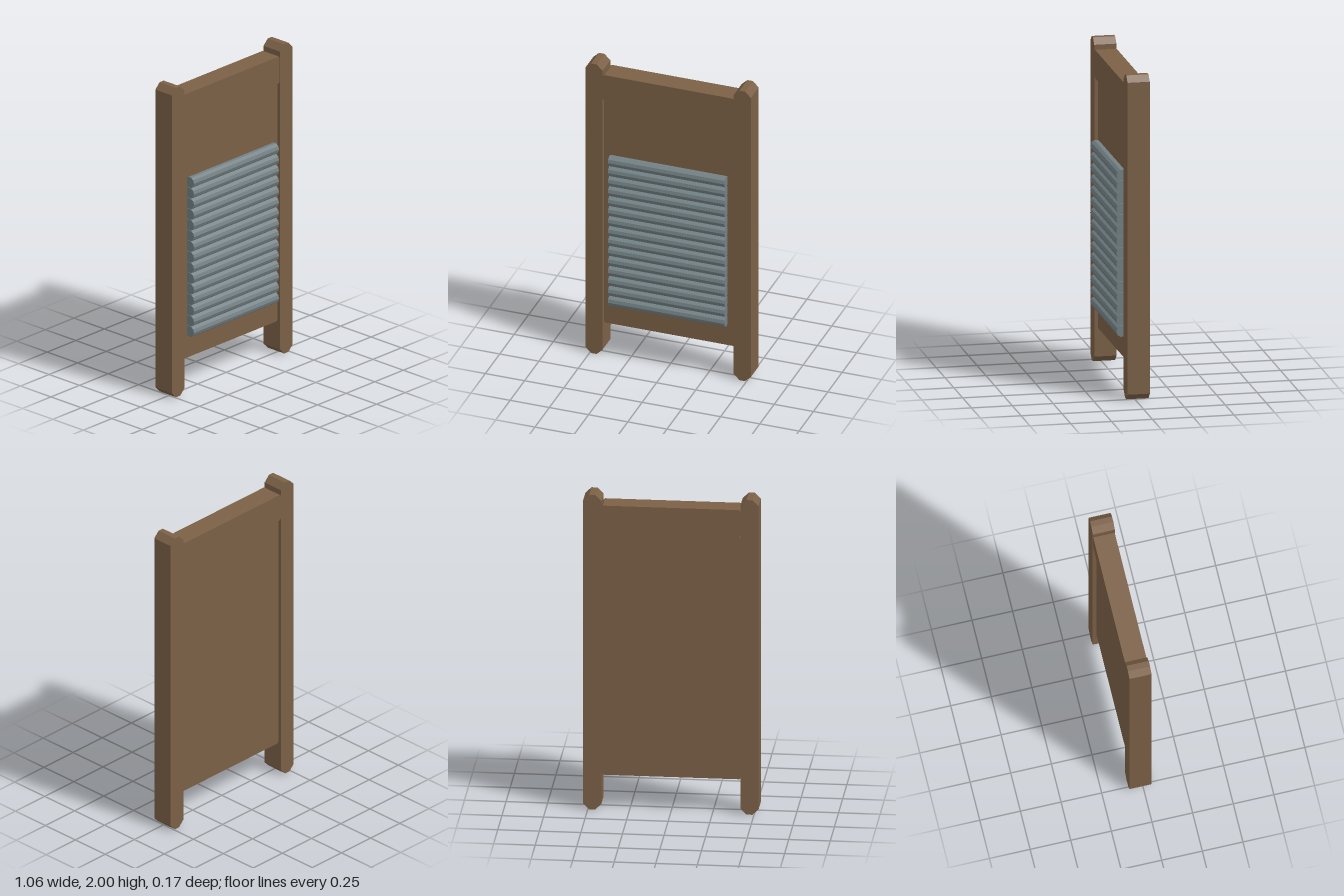
import * as THREE from 'three';

// Slab with chamfered corners, extruded from z0 to z1
function chamferedSlab(x0, x1, y0, y1, z0, z1, c) {
  const s = new THREE.Shape();
  s.moveTo(x0 + c, y0);
  s.lineTo(x1 - c, y0);
  s.lineTo(x1, y0 + c);
  s.lineTo(x1, y1 - c);
  s.lineTo(x1 - c, y1);
  s.lineTo(x0 + c, y1);
  s.lineTo(x0, y1 - c);
  s.lineTo(x0, y0 + c);
  s.closePath();
  const g = new THREE.ExtrudeGeometry(s, { depth: z1 - z0, bevelEnabled: false });
  return g.translate(0, 0, z0);
}

export function createModel() {
  const group = new THREE.Group();
  group.name = 'washboard';
  const wood = new THREE.MeshStandardMaterial({ color: 0x7b6046 });
  wood.name = 'wood';
  const metal = new THREE.MeshStandardMaterial({ color: 0x728084, flatShading: true });
  metal.name = 'metal';

  const add = (name, geometry, material) => {
    const mesh = new THREE.Mesh(geometry, material);
    mesh.name = name;
    group.add(mesh);
    return mesh;
  };

  // Side posts with chamfered ends
  add('leftPost', chamferedSlab(0.418, 0.528, 0, 2, -0.086, 0.05, 0.037), wood);
  add('rightPost', chamferedSlab(-0.528, -0.418, 0, 2, -0.086, 0.05, 0.037), wood);

  // Top rail and the recessed board below a narrow gap
  add('topRail', chamferedSlab(-0.42, 0.42, 1.76, 1.934, -0.085, 0.047, 0.01), wood);
  add('board', chamferedSlab(-0.42, 0.42, 0.215, 1.753, -0.064, 0.028, 0.01), wood);

  // Ribbed scrubbing surface: a column of ten-sided rods
  const rodGeometry = new THREE.CylinderGeometry(0.035, 0.035, 0.744, 10).rotateZ(Math.PI / 2);
  const count = 15;
  for (let i = 0; i < count; i++) {
    const rod = add('scrubbingRib' + (i + 1), rodGeometry, metal);
    rod.position.set(0, 0.39 + (i * (1.354 - 0.39)) / (count - 1), 0.05);
  }
  return group;
}
